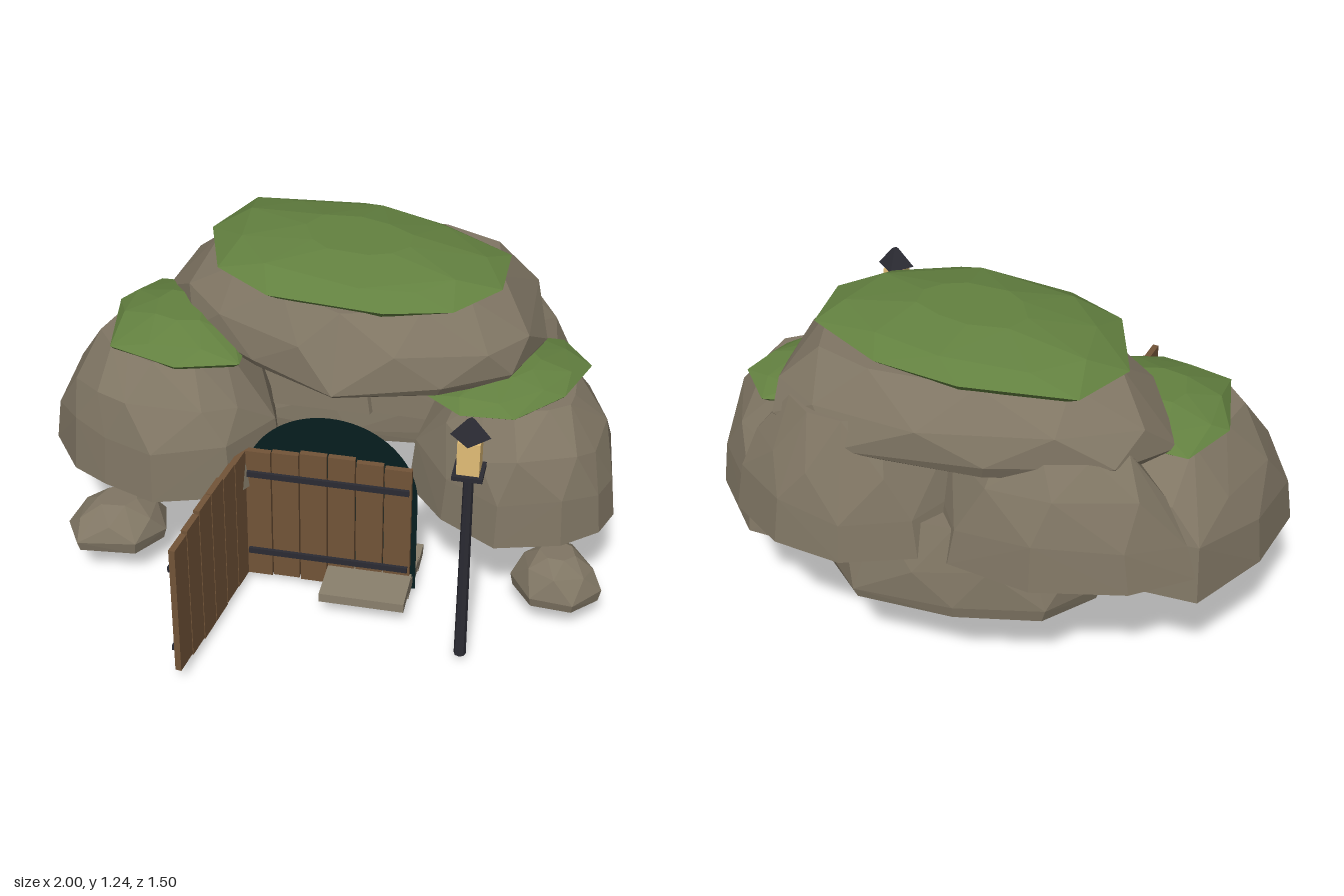
import * as THREE from 'three';
import { ConvexGeometry } from 'three/addons/geometries/ConvexGeometry.js';

const paint = (name, color, side = THREE.FrontSide) => {
  const m = new THREE.MeshStandardMaterial({ color, side });
  m.name = name;
  return m;
};

export function createModel() {
  const model = new THREE.Group();
  model.name = 'caveEntrance';
  const stone = paint('stone', 0x807664);
  const moss = paint('moss', 0x638140);
  const wood = paint('wood', 0x725438);
  const iron = paint('iron', 0x2b2b33);
  const darkness = paint('caveDarkness', 0x071d1f, THREE.DoubleSide);
  const glow = paint('lanternGlass', 0xe2bd76);
  const slab = paint('stepStone', 0x8a806d);

  let seed = 17;
  const rand = () => (seed = (seed * 16807) % 2147483647) / 2147483647;

  const add = (parent, name, geometry, material, x = 0, y = 0, z = 0) => {
    const mesh = new THREE.Mesh(geometry, material);
    mesh.name = name;
    mesh.position.set(x, y, z);
    parent.add(mesh);
    return mesh;
  };
  const box = (parent, name, material, w, h, d, x, y, z) =>
    add(parent, name, new THREE.BoxGeometry(w, h, d), material, x, y, z);

  // Faceted cylinder with flat sides
  const prism = (top, bottom, height, sides) => {
    const g = new THREE.CylinderGeometry(top, bottom, height, sides).toNonIndexed();
    g.computeVertexNormals();
    return g;
  };

  // Faceted stone: a plan outline [x, z] scaled ring by ring [height, scale], wrapped in a hull
  const boulder = (name, material, plan, y0, y1, rings) => {
    const n = plan.length;
    const cx = plan.reduce((s, p) => s + p[0], 0) / n;
    const cz = plan.reduce((s, p) => s + p[1], 0) / n;
    const points = [];
    rings.forEach(([t, r], k) => plan.forEach((a, i) => {
      const b = plan[(i + 1) % n];
      const m = k === 2 ? 0.2 + 0.4 * rand() : 0;
      const s = k > 1 ? r * (1.03 - 0.08 * rand()) : r;
      const wobble = k && t < 1 ? (rand() - 0.5) * 0.14 : 0;
      points.push(new THREE.Vector3(
        cx + (a[0] + (b[0] - a[0]) * m - cx) * s,
        y0 + (y1 - y0) * (t + wobble),
        cz + (a[1] + (b[1] - a[1]) * m - cz) * s));
    }));
    return add(model, name, new ConvexGeometry(points), material);
  };

  const dome = [[0, 1], [0.4, 0.95], [0.7, 0.87], [1, 0.52]];
  const peaked = [[0, 1], [0.35, 0.93], [0.68, 0.82], [1, 0.5]];
  const slabby = [[0, 0.96], [0.12, 1], [0.55, 0.98], [1, 0.74]];
  const cushion = [[0, 0.9], [0.25, 1], [0.65, 0.84], [1, 0.35]];
  const pebble = [[0, 0.94], [0.25, 1], [0.7, 0.86], [1, 0.4]];

  // Main boulders around the entrance
  boulder('rightBoulder', stone, [[-1, 0.02], [-0.94, -0.25], [-0.78, -0.52], [-0.5, -0.5],
    [-0.27, -0.3], [-0.17, 0.03], [-0.3, 0.25], [-0.56, 0.33], [-0.75, 0.26], [-0.88, 0.19]], 0.42, 0.88, dome);
  boulder('leftBoulder', stone, [[1, 0.02], [0.97, -0.25], [0.78, -0.5], [0.5, -0.54],
    [0.3, -0.3], [0.28, 0], [0.42, 0.17], [0.62, 0.29], [0.84, 0.23], [0.96, 0.13]], 0.38, 0.825, dome);
  boulder('capRock', stone, [[-0.66, -0.33], [-0.5, -0.55], [-0.1, -0.65], [0.4, -0.64], [0.65, -0.52],
    [0.71, -0.22], [0.62, 0.02], [0.4, 0.15], [0.05, 0.24], [-0.25, 0.1], [-0.5, -0.07]], 0.87, 1.14, slabby);

  // Back wall rocks
  boulder('backLeftRock', stone, [[-0.06, -0.4], [0.12, -0.66], [0.36, -0.75], [0.6, -0.7],
    [0.79, -0.55], [0.77, -0.4], [0.5, -0.2], [0.05, -0.22]], 0.52, 0.985, peaked);
  boulder('backRightRock', stone, [[0.18, -0.4], [0.02, -0.66], [-0.27, -0.73], [-0.58, -0.66],
    [-0.77, -0.52], [-0.65, -0.32], [-0.3, -0.2], [0.1, -0.2]], 0.52, 0.95, peaked);
  boulder('backLowerRock', stone, [[-0.45, -0.45], [-0.3, -0.62], [0, -0.68], [0.35, -0.66],
    [0.5, -0.5], [0.45, -0.36], [0, -0.32], [-0.35, -0.33]], 0.31, 0.64, slabby);

  // Loose stones beside the entrance
  boulder('looseLeftRock', stone, [[0.99, 0.17], [0.95, 0.04], [0.82, -0.01], [0.7, 0.04],
    [0.67, 0.14], [0.75, 0.25], [0.9, 0.26]], 0.11, 0.275, pebble);
  boulder('looseRightRock', stone, [[-0.92, 0.2], [-0.86, 0.05], [-0.73, 0.01], [-0.6, 0.05],
    [-0.57, 0.16], [-0.65, 0.28], [-0.86, 0.3]], 0.13, 0.285, pebble);

  // Moss cushions
  boulder('topMoss', moss, [[-0.49, -0.33], [-0.38, -0.55], [0, -0.58], [0.3, -0.5], [0.56, -0.33],
    [0.56, -0.1], [0.42, 0.06], [0.2, 0.13], [-0.2, 0.08], [-0.4, -0.05]], 1.125, 1.24, cushion);
  boulder('rightMoss', moss, [[-0.8, -0.2], [-0.7, -0.38], [-0.55, -0.36], [-0.3, -0.1],
    [-0.29, 0.12], [-0.5, 0.18], [-0.75, 0.1]], 0.863, 0.96, cushion);
  boulder('leftMoss', moss, [[0.62, -0.33], [0.76, -0.35], [0.87, -0.2], [0.8, 0],
    [0.65, 0.16], [0.47, 0.17], [0.34, 0.08], [0.42, -0.15]], 0.808, 0.89, cushion);

  // Dark arched opening
  const arch = new THREE.Shape();
  arch.moveTo(-0.28, 0.03);
  arch.lineTo(0.335, 0.03);
  arch.lineTo(0.335, 0.42);
  arch.absarc(0.0275, 0.42, 0.3075, 0, Math.PI);
  arch.closePath();
  add(model, 'caveOpening', new THREE.ShapeGeometry(arch, 20), darkness, 0, 0, 0.142);

  // Door leaves: six planks and two iron straps, hinged at the local origin
  const tops = [0.57, 0.575, 0.585, 0.585, 0.575, 0.566];
  const feet = [0.03, 0.035, 0.03, 0.03, 0.04, 0.05];
  const doorLeaf = (name, angle) => {
    const leaf = new THREE.Group();
    leaf.name = name;
    tops.forEach((top, i) =>
      box(leaf, 'plank', wood, 0.094, top - feet[i], 0.022, 0.05 + i * 0.099, (top + feet[i]) / 2, 0));
    for (const y of [0.14, 0.478]) box(leaf, 'strap', iron, 0.57, 0.022, 0.012, 0.3, y, 0.016);
    leaf.position.set(-0.275, 0, 0.16);
    leaf.rotation.y = angle;
    model.add(leaf);
  };
  doorLeaf('closedDoor', 0);
  doorLeaf('openDoor', -Math.PI / 2 - 0.16);

  // Steps descending into the cave: [front z, back z, bottom, top]
  [[0.33, 0.16, 0.075, 0.11], [0.225, 0.11, 0.05, 0.085], [0.12, 0.005, 0.025, 0.065], [0.01, -0.1, 0, 0.04]]
    .forEach(([z1, z0, y0, y1]) =>
      box(model, 'step', slab, 0.3, y1 - y0, z1 - z0, 0.175, (y0 + y1) / 2, (z0 + z1) / 2));

  // Lamp post
  const lamp = new THREE.Group();
  lamp.name = 'lampPost';
  lamp.position.set(0.542, 0, 0.442);
  model.add(lamp);
  add(lamp, 'post', prism(0.017, 0.021, 0.77, 8), iron, 0, 0.415, 0);
  box(lamp, 'lanternBase', iron, 0.1, 0.016, 0.1, 0, 0.805, 0);
  box(lamp, 'lantern', glow, 0.074, 0.125, 0.074, 0, 0.873, 0);
  add(lamp, 'lanternRoof', prism(0.012, 0.066, 0.066, 4), iron, 0, 0.975, 0);

  return model;
}
